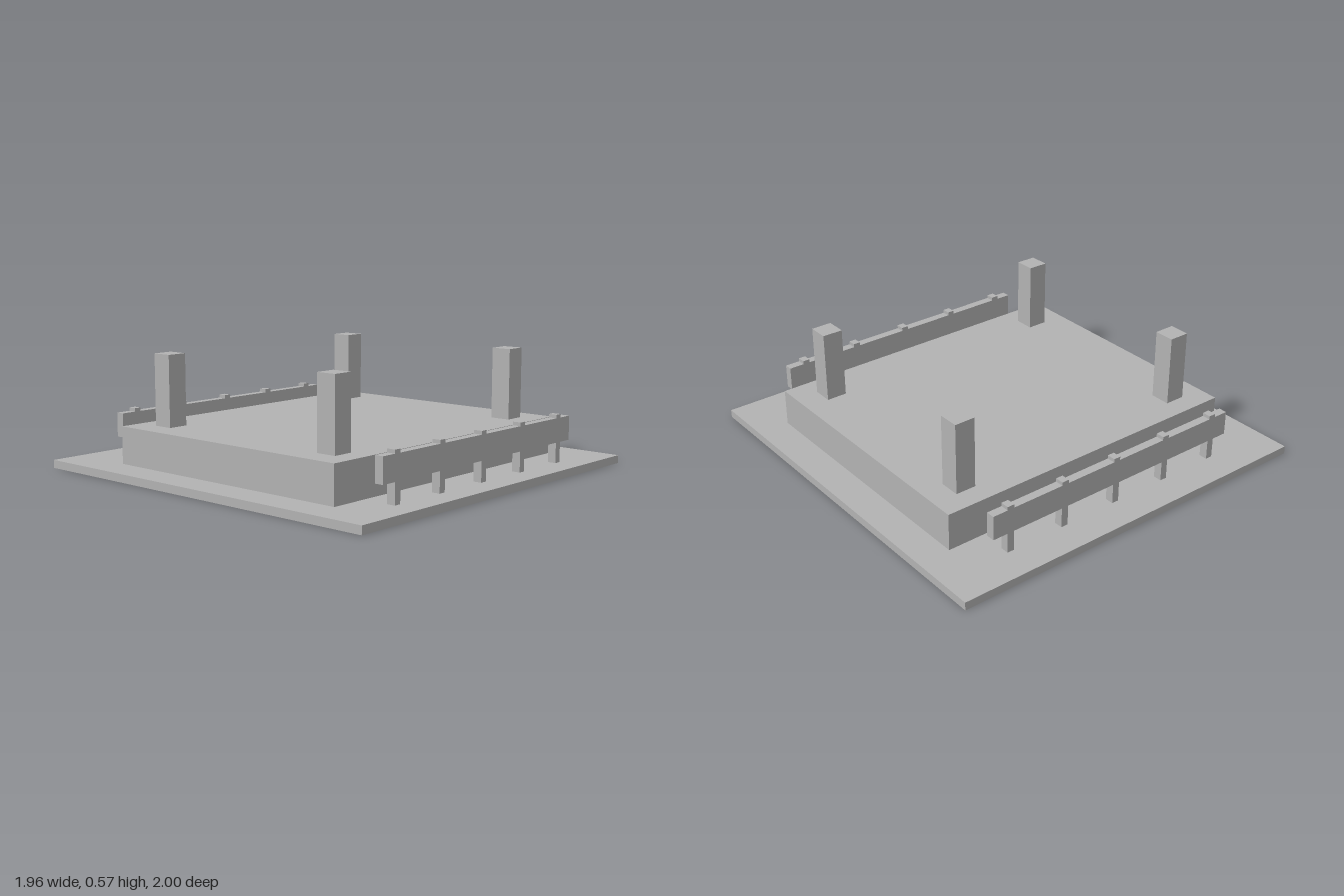
import * as THREE from 'three';

const stone = new THREE.MeshStandardMaterial({ color: 0xb2b2b2 });
stone.name = 'lightGrey';

// Box given by its centre in x and z and its bottom and top heights
function block(name, width, depth, bottom, top, x = 0, z = 0) {
  const mesh = new THREE.Mesh(new THREE.BoxGeometry(width, top - bottom, depth), stone);
  mesh.name = name;
  mesh.position.set(x, (bottom + top) / 2, z);
  return mesh;
}

// Long board carried by five evenly spaced stakes
function barrier(name, z) {
  const group = new THREE.Group();
  group.name = name;
  group.position.z = z;
  group.add(block('railBoard', 1.415, 0.043, 0.14, 0.26));
  for (let i = -2; i <= 2; i++) {
    // Stake foot below the board and its cap above
    group.add(block('stakeFoot', 0.036, 0.043, 0.04, 0.14, i * 0.306));
    group.add(block('stakeCap', 0.036, 0.043, 0.26, 0.277, i * 0.306));
  }
  return group;
}

export function createModel() {
  const model = new THREE.Group();
  model.name = 'platformWithBarriers';

  // Ground slab and raised platform
  model.add(block('groundSlab', 1.96, 2, 0, 0.04));
  model.add(block('platform', 1.634, 1.376, 0.04, 0.224, 0, 0.02));

  // Four corner pillars
  for (const x of [-0.643, 0.643]) {
    for (const z of [-0.51, 0.55]) {
      model.add(block('pillar', 0.103, 0.103, 0.224, 0.575, x, z));
    }
  }

  // Barriers along the front and back
  model.add(barrier('frontBarrier', 0.857), barrier('backBarrier', -0.818));
  return model;
}
